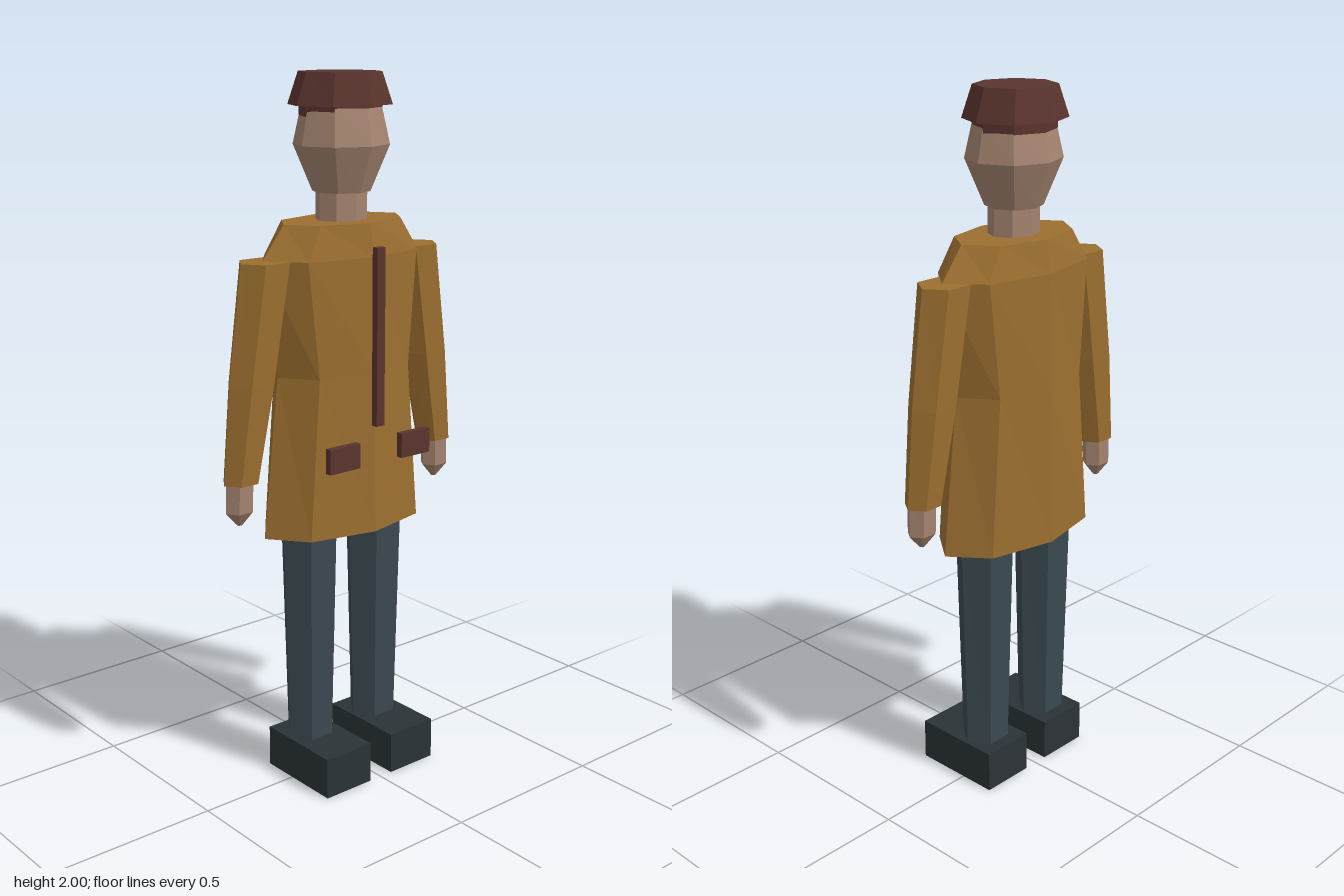
import * as THREE from 'three';

const material = (color) => new THREE.MeshStandardMaterial({ color, flatShading: true });
const mats = {
  coat: material(0x9c6f30),
  trim: material(0x5a342e),
  skin: material(0xa58470),
  trousers: material(0x3a494f),
  shoe: material(0x2b3336),
};

// Capped loft through elliptical rings [y, rx, rz, cx, cz], listed bottom to top.
function loft(name, mat, sides, rings) {
  const pos = [];
  const point = ([y, rx, rz, cx = 0, cz = -0.015], i) => {
    const a = (i / sides) * Math.PI * 2;
    return [cx + Math.cos(a) * rx, y, cz + Math.sin(a) * rz];
  };
  const centre = ([y, , , cx = 0, cz = -0.015]) => [cx, y, cz];
  const first = rings[0], last = rings[rings.length - 1];
  for (let i = 0; i < sides; i++) {
    for (let r = 0; r < rings.length - 1; r++) {
      const a = point(rings[r], i), b = point(rings[r], i + 1);
      const c = point(rings[r + 1], i + 1), d = point(rings[r + 1], i);
      pos.push(...a, ...d, ...c, ...a, ...c, ...b);
    }
    pos.push(...centre(first), ...point(first, i), ...point(first, i + 1));
    pos.push(...centre(last), ...point(last, i + 1), ...point(last, i));
  }
  const geo = new THREE.BufferGeometry();
  geo.setAttribute('position', new THREE.Float32BufferAttribute(pos, 3));
  geo.computeVertexNormals();
  const mesh = new THREE.Mesh(geo, mat);
  mesh.name = name;
  return mesh;
}

function box(name, mat, [w, h, d], [x, y, z]) {
  const mesh = new THREE.Mesh(new THREE.BoxGeometry(w, h, d), mat);
  mesh.position.set(x, y, z);
  mesh.name = name;
  return mesh;
}

export function createModel() {
  const model = new THREE.Group();
  model.name = 'figure';

  // Coat body: flared hem, waist, shoulders, collar
  model.add(loft('coat', mats.coat, 8, [
    [0.75, 0.275, 0.148],
    [1.2, 0.225, 0.143],
    [1.52, 0.27, 0.135],
    [1.61, 0.198, 0.12],
  ]));
  model.add(box('coatPlacket', mats.trim, [0.028, 0.49, 0.02], [0, 1.305, 0.142]));

  // Neck, head and cap
  model.add(loft('neck', mats.skin, 8, [[1.58, 0.076, 0.064], [1.72, 0.076, 0.064]]));
  model.add(loft('head', mats.skin, 8, [
    [1.685, 0.08, 0.078],
    [1.81, 0.135, 0.127],
    [1.92, 0.112, 0.1],
  ]));
  model.add(loft('cap', mats.trim, 8, [
    [1.885, 0.118, 0.106, 0, -0.018],
    [1.914, 0.118, 0.106, 0, -0.018],
    [1.914, 0.147, 0.135, 0, -0.02],
    [2.0, 0.115, 0.11, 0, -0.02],
  ]));

  // Paired parts, left is +x
  for (const [side, s] of [['left', 1], ['right', -1]]) {
    model.add(loft(side + 'Sleeve', mats.coat, 6, [
      [0.93, 0.055, 0.048, s * 0.353],
      [1.2, 0.073, 0.061, s * 0.312],
      [1.52, 0.078, 0.0675, s * 0.262],
    ]));
    model.add(loft(side + 'Hand', mats.skin, 6, [
      [0.81, 0.008, 0.007, s * 0.36],
      [0.85, 0.044, 0.036, s * 0.36],
      [0.95, 0.045, 0.038, s * 0.357],
    ]));
    model.add(loft(side + 'Leg', mats.trousers, 6, [
      [0.1, 0.074, 0.063, s * 0.12],
      [0.78, 0.091, 0.079, s * 0.12],
    ]));
    model.add(box(side + 'Shoe', mats.shoe, [0.16, 0.12, 0.27], [s * 0.12, 0.06, 0.028]));
    model.add(box(side + 'PocketFlap', mats.trim, [0.105, 0.07, 0.02], [s * 0.128, 0.99, 0.146]));
  }
  return model;
}
